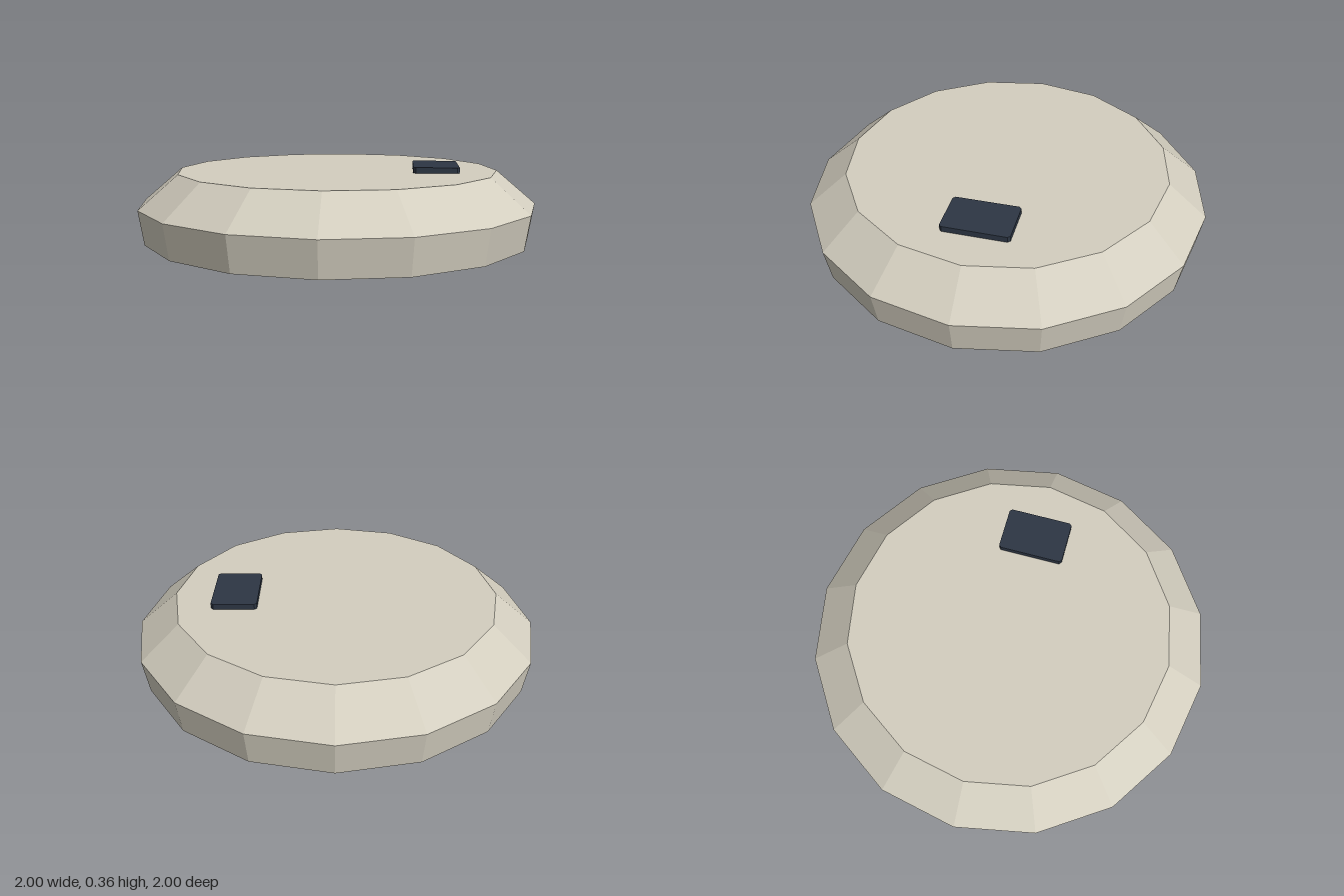
import * as THREE from 'three';

const stone = new THREE.MeshStandardMaterial({ name: 'warm stone', color: 0xd3cebf, flatShading: true });
const slate = new THREE.MeshStandardMaterial({ name: 'dark slate', color: 0x2d3644, flatShading: true });

// Rectangle outline with small clipped corners
function clippedRect(w, d, c) {
  const x = w / 2, y = d / 2;
  return new THREE.Shape([
    [x - c, -y], [x, -y + c], [x, y - c], [x - c, y],
    [-x + c, y], [-x, y - c], [-x, -y + c], [-x + c, -y],
  ].map(([px, py]) => new THREE.Vector2(px, py)));
}

export function createModel() {
  const group = new THREE.Group();
  group.name = 'discWithPad';

  // Sixteen-sided disc, flared base and bevelled shoulder
  const profile = [[0, 0], [0.972, 0], [1, 0.17], [0.805, 0.336], [0, 0.336]]
    .map(([r, y]) => new THREE.Vector2(r, y));
  const disc = new THREE.Mesh(new THREE.LatheGeometry(profile, 16), stone);
  disc.name = 'disc';
  group.add(disc);

  // Raised pad near the left edge of the top
  const padGeometry = new THREE.ExtrudeGeometry(clippedRect(0.225, 0.33, 0.012), {
    depth: 0.028, bevelEnabled: false,
  });
  padGeometry.rotateX(-Math.PI / 2);
  const pad = new THREE.Mesh(padGeometry, slate);
  pad.name = 'raisedPad';
  pad.position.set(0.498, 0.336, 0);
  group.add(pad);

  return group;
}
